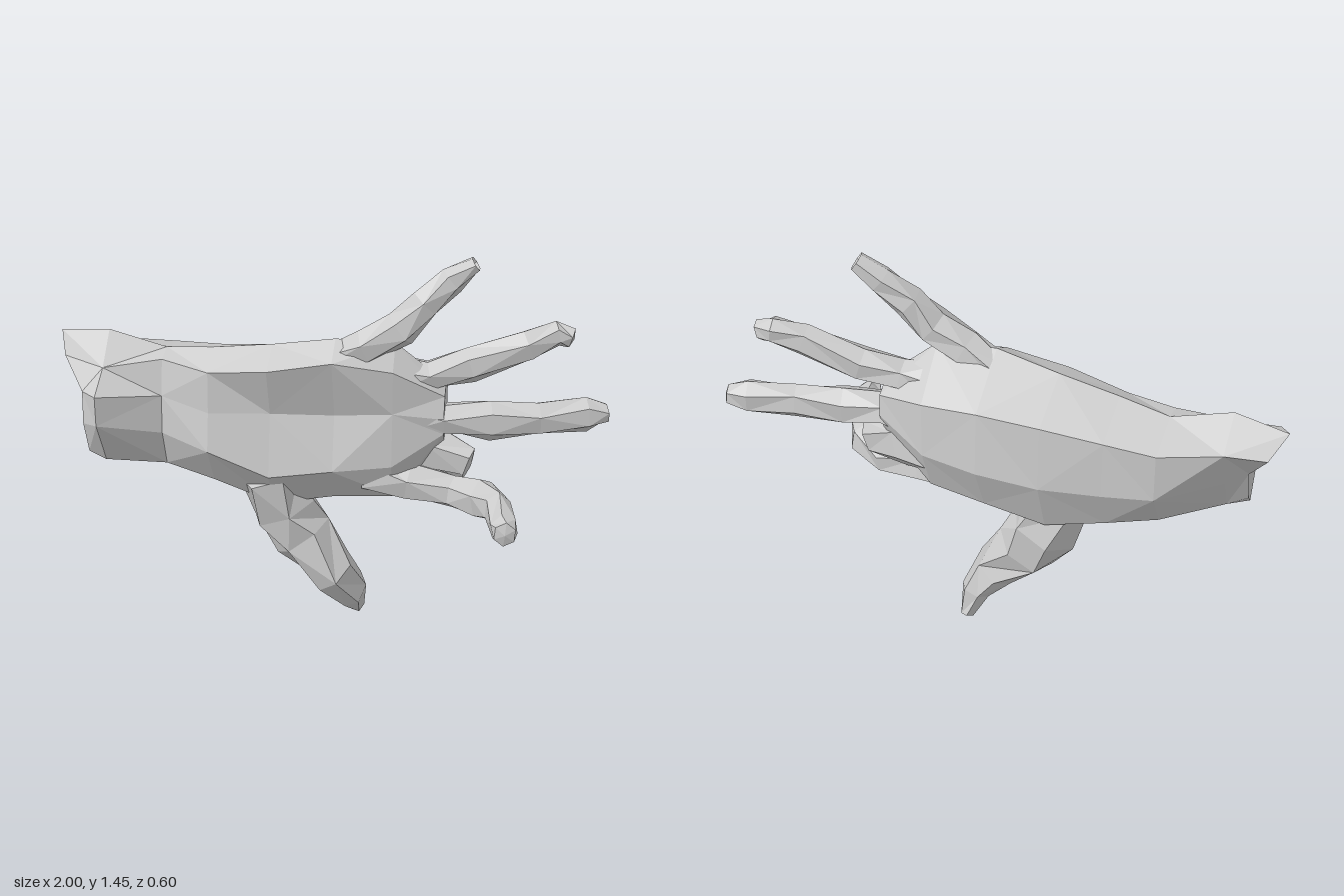
import * as THREE from 'three';

const material = new THREE.MeshStandardMaterial({ color: 0xcccccc, flatShading: true });

// Skins a list of rings (each a list of Vector3) and closes both ends.
// The end fans meet at a centre pushed along the axis by startPush / endPush.
function loft(name, rings, startPush, endPush) {
  const n = rings[0].length;
  const tris = [];
  const centre = ring => ring.reduce((s, p) => s.add(p), new THREE.Vector3()).divideScalar(n);
  for (let i = 0; i < rings.length - 1; i++) {
    for (let j = 0; j < n; j++) {
      const k = (j + 1) % n;
      const a = rings[i][j], b = rings[i][k], c = rings[i + 1][j], d = rings[i + 1][k];
      // alternate the diagonal for an irregular faceted skin
      if ((i + j) % 2) tris.push(a, b, c, b, d, c);
      else tris.push(a, b, d, a, d, c);
    }
  }
  const cap = (ring, next, push, flip) => {
    const c = centre(ring);
    c.addScaledVector(c.clone().sub(centre(next)).normalize(), push);
    for (let j = 0; j < n; j++) {
      const a = ring[j], b = ring[(j + 1) % n];
      if (flip) tris.push(c, b, a);
      else tris.push(c, a, b);
    }
  };
  cap(rings[0], rings[1], startPush, true);
  cap(rings[rings.length - 1], rings[rings.length - 2], endPush, false);
  const geometry = new THREE.BufferGeometry().setFromPoints(tris);
  geometry.computeVertexNormals();
  const mesh = new THREE.Mesh(geometry, material);
  mesh.name = name;
  return mesh;
}

// A digit follows stations [x, y, z, half width, half thickness];
// "across" is the direction of its width.
function digit(name, stations, across, endPush = 0.01) {
  const pts = stations.map(s => new THREE.Vector3(s[0], s[1], s[2]));
  const sides = 6;
  const rings = stations.map((s, i) => {
    const t = pts[Math.min(i + 1, pts.length - 1)].clone().sub(pts[Math.max(i - 1, 0)]).normalize();
    const u = across.clone().addScaledVector(t, -across.dot(t)).normalize();
    const v = t.clone().cross(u);
    return Array.from({ length: sides }, (_, j) => {
      const a = (j / sides) * Math.PI * 2 + (i % 2 ? 0.2 : -0.1);
      return pts[i].clone()
        .addScaledVector(u, Math.cos(a) * s[3])
        .addScaledVector(v, Math.sin(a) * s[4]);
    });
  });
  return loft(name, rings, 0, endPush);
}

export function createModel() {
  const hand = new THREE.Group();
  hand.name = 'hand';

  // wrist and palm: x, then [y, z] from the upper edge over the palm side,
  // round the lower edge and back up over the back of the hand
  const sections = [
    [-0.88, 1.11, -0.14, 1.05, -0.03, 0.94, 0.04, 0.82, 0.05, 0.69, 0.0, 0.74, -0.05, 0.89, -0.11, 1.04, -0.22],
    [-0.81, 1.13, -0.11, 1.02, 0.0, 0.95, 0.12, 0.84, 0.12, 0.67, 0.02, 0.71, -0.07, 0.87, -0.16, 1.05, -0.25],
    [-0.6, 1.07, -0.12, 1.05, -0.04, 0.92, -0.01, 0.78, 0.0, 0.64, -0.05, 0.67, -0.18, 0.84, -0.29, 1.03, -0.3],
    [-0.42, 1.09, -0.09, 1.03, 0.02, 0.88, 0.03, 0.74, 0.06, 0.59, -0.04, 0.63, -0.21, 0.81, -0.29, 1.03, -0.29],
    [-0.2, 1.12, -0.07, 1.06, 0.06, 0.88, 0.0, 0.65, 0.05, 0.5, -0.06, 0.56, -0.21, 0.79, -0.3, 1.04, -0.29],
    [0.03, 1.16, -0.05, 1.1, 0.05, 0.88, -0.02, 0.68, 0.03, 0.54, -0.07, 0.59, -0.2, 0.79, -0.29, 1.03, -0.27],
    [0.24, 1.15, -0.07, 1.06, 0.0, 0.9, -0.01, 0.7, 0.0, 0.56, -0.06, 0.61, -0.18, 0.79, -0.25, 1.0, -0.24],
    [0.42, 1.0, -0.1, 0.96, -0.06, 0.88, -0.04, 0.82, -0.05, 0.78, -0.09, 0.81, -0.16, 0.88, -0.19, 0.96, -0.18],
  ];
  const palmRings = sections.map((s, i) => Array.from({ length: 8 }, (_, j) => {
    const y = s[1 + 2 * j];
    // the upper corner of the wrist end juts out
    const jut = i === 0 ? Math.max(0, y - 0.94) * 0.7 : 0;
    return new THREE.Vector3(s[0] - jut, y, s[2 + 2 * j]);
  }));
  hand.add(loft('palm', palmRings, -0.06, 0));

  const up = new THREE.Vector3(0, 1, 0);
  const sideways = new THREE.Vector3(1, 0, 0);

  // little finger, with a notched tip
  hand.add(digit('littleFinger', [
    [-0.02, 1.07, -0.07, 0.04, 0.06],
    [0.14, 1.14, -0.05, 0.065, 0.075],
    [0.26, 1.21, -0.05, 0.065, 0.075],
    [0.34, 1.3, -0.07, 0.06, 0.06],
    [0.43, 1.38, -0.09, 0.05, 0.05],
    [0.51, 1.44, -0.1, 0.025, 0.05],
  ], up, -0.05));

  hand.add(digit('ringFinger', [
    [0.2, 1.0, -0.1, 0.1, 0.08],
    [0.36, 1.02, -0.11, 0.055, 0.07],
    [0.5, 1.055, -0.14, 0.065, 0.06],
    [0.7, 1.13, -0.17, 0.06, 0.055],
    [0.8, 1.17, -0.2, 0.045, 0.05],
    [0.85, 1.155, -0.2, 0.04, 0.035],
  ], up));

  hand.add(digit('middleFinger', [
    [0.24, 0.85, -0.12, 0.1, 0.09],
    [0.42, 0.86, -0.11, 0.055, 0.08],
    [0.58, 0.85, -0.13, 0.075, 0.065],
    [0.75, 0.855, -0.17, 0.065, 0.055],
    [0.92, 0.865, -0.21, 0.065, 0.055],
    [0.99, 0.87, -0.23, 0.035, 0.045],
  ], up));

  // knuckle web between middle finger and forefinger
  hand.add(digit('knuckleWeb', [
    [0.18, 0.76, -0.15, 0.1, 0.09],
    [0.36, 0.74, -0.13, 0.1, 0.07],
    [0.51, 0.69, -0.09, 0.07, 0.035],
  ], up));

  // forefinger, bent towards the palm side
  hand.add(digit('foreFinger', [
    [0.14, 0.64, -0.09, 0.09, 0.08],
    [0.3, 0.62, -0.08, 0.075, 0.08],
    [0.46, 0.595, -0.06, 0.06, 0.065],
    [0.57, 0.6, 0.0, 0.08, 0.06],
    [0.63, 0.615, 0.11, 0.065, 0.05],
    [0.66, 0.61, 0.25, 0.055, 0.05],
    [0.665, 0.61, 0.295, 0.045, 0.04],
  ], up));

  hand.add(digit('thumb', [
    [-0.22, 0.62, -0.09, 0.12, 0.13],
    [-0.17, 0.46, -0.11, 0.13, 0.12],
    [-0.1, 0.35, -0.11, 0.12, 0.105],
    [0.02, 0.21, -0.1, 0.085, 0.105],
    [0.085, 0.115, -0.15, 0.055, 0.085],
    [0.1, 0.03, -0.2, 0.025, 0.045],
  ], sideways));

  return hand;
}
